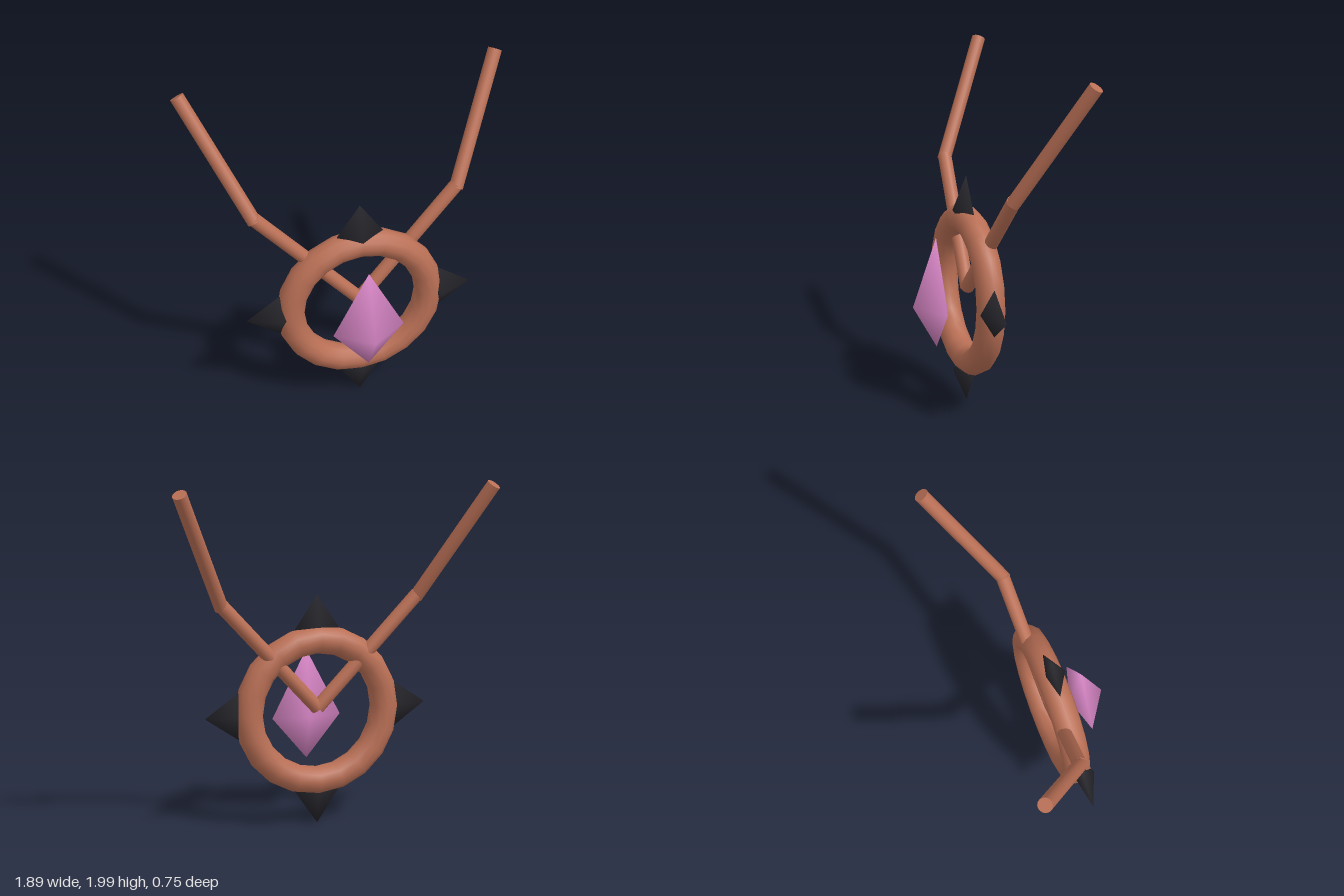
import * as THREE from 'three';

const copper = new THREE.MeshStandardMaterial({ color: 0xb96f55 });
const black = new THREE.MeshStandardMaterial({ color: 0x25252b });
const pink = new THREE.MeshStandardMaterial({ color: 0xd685c4 });

// Stretched octahedron: its widest section lies at the origin, its tips on the y axis.
function gemGeometry(up, down, halfWidth, front, back) {
  const g = new THREE.BufferGeometry();
  g.setAttribute('position', new THREE.Float32BufferAttribute([
    0, up, 0, 0, -down, 0,
    halfWidth, 0, 0, 0, 0, front, -halfWidth, 0, 0, 0, 0, -back,
  ], 3));
  const index = [];
  for (let i = 0; i < 4; i++) {
    const a = 2 + i, b = 2 + (i + 1) % 4;
    index.push(0, b, a, 1, a, b);
  }
  g.setIndex(index);
  g.computeVertexNormals();
  return g;
}

// Straight capped rod between two points.
function rod(name, from, to, radius) {
  const a = new THREE.Vector3(...from), b = new THREE.Vector3(...to);
  const dir = b.clone().sub(a);
  const mesh = new THREE.Mesh(new THREE.CylinderGeometry(radius, radius, dir.length(), 16), copper);
  mesh.position.copy(a).add(b).multiplyScalar(0.5);
  mesh.quaternion.setFromUnitVectors(new THREE.Vector3(0, 1, 0), dir.normalize());
  mesh.name = name;
  return mesh;
}

export function createModel() {
  const group = new THREE.Group();
  group.name = 'pendant';

  // Ring
  const ring = new THREE.Mesh(new THREE.TorusGeometry(0.413, 0.081, 12, 20), copper);
  ring.name = 'ring';
  ring.position.set(0, 0.68, 0.053);
  group.add(ring);

  // Four spikes around the ring
  const spikeGeometry = gemGeometry(0.195, 0.12, 0.135, 0.082, 0.035);
  ['top', 'right', 'bottom', 'left'].forEach((side, i) => {
    const angle = i * Math.PI / 2;
    const spike = new THREE.Mesh(spikeGeometry, black);
    spike.name = side + 'Spike';
    spike.position.set(-Math.sin(angle) * 0.476, 0.68 + Math.cos(angle) * 0.476, 0.055);
    spike.rotation.z = angle;
    group.add(spike);
  });

  // Crystal floating in front of the ring
  const crystal = new THREE.Mesh(gemGeometry(0.4, 0.25, 0.21, 0.14, 0.062), pink);
  crystal.name = 'crystal';
  crystal.position.set(0, 0.605, 0.235);
  group.add(crystal);

  // Bent arms, mirrored left and right
  for (const [side, s] of [['left', 1], ['right', -1]]) {
    group.add(rod(side + 'LowerArm', [0, 0.695, 0.05], [s * 0.592, 1.335, -0.012], 0.04));
    group.add(rod(side + 'UpperArm', [s * 0.585, 1.315, -0.005], [s * 0.907, 1.98, -0.335], 0.04));
  }
  return group;
}
